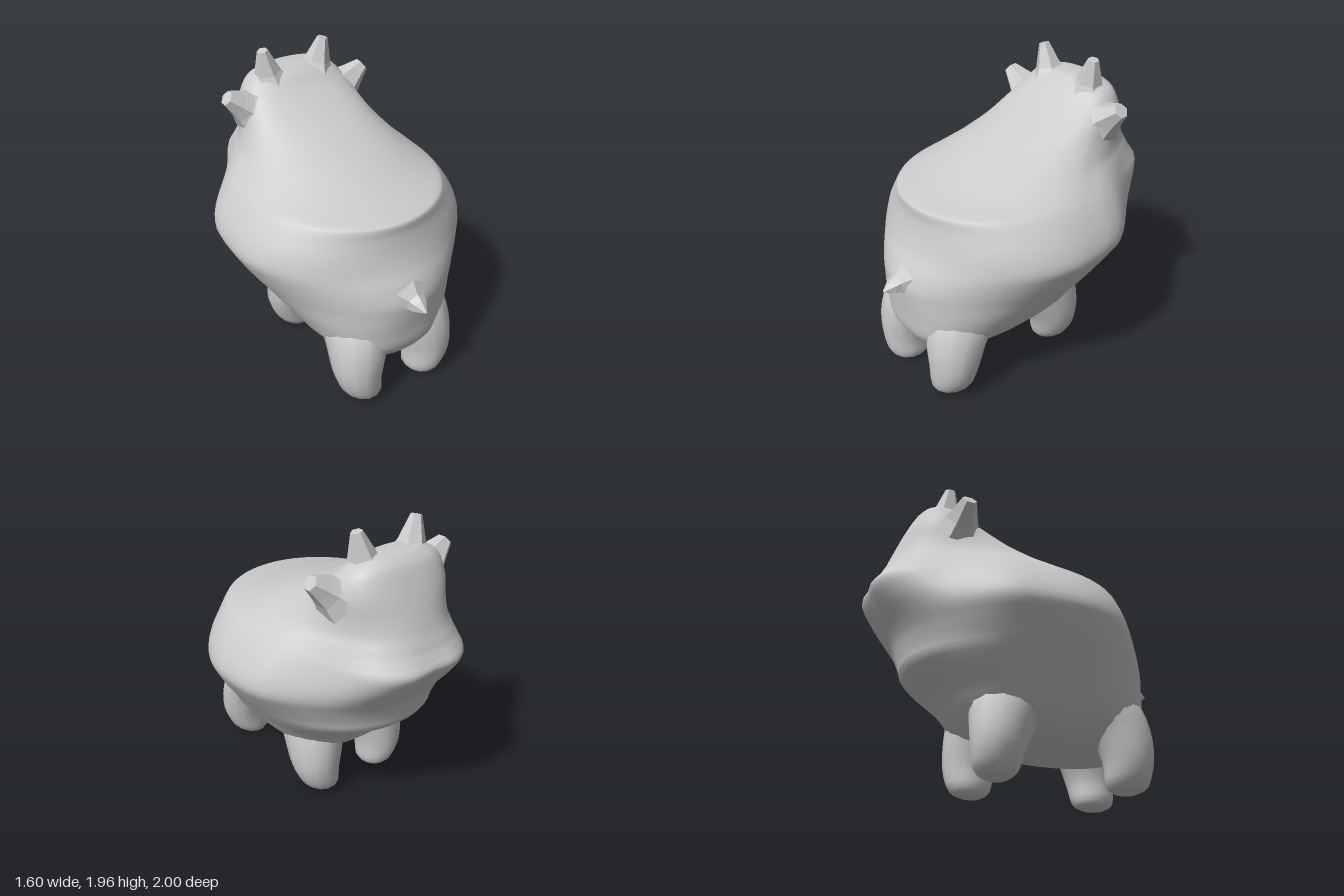
import * as THREE from 'three';

const smooth = new THREE.MeshStandardMaterial({ color: 0xcccccc });
const faceted = new THREE.MeshStandardMaterial({ color: 0xcccccc, flatShading: true });

// Catmull-Rom refinement of a few cross-sections
function refine(rows, steps) {
  const out = [];
  const at = i => rows[Math.min(Math.max(i, 0), rows.length - 1)];
  for (let i = 0; i < rows.length - 1; i++) {
    for (let s = 0; s < steps; s++) {
      const t = s / steps;
      out.push(rows[i].map((b, k) => {
        const a = at(i - 1)[k], c = at(i + 1)[k], d = at(i + 2)[k];
        return 0.5 * (2 * b + (c - a) * t + (2 * a - 5 * b + 4 * c - d) * t * t
          + (3 * b - a - 3 * c + d) * t * t * t);
      }));
    }
  }
  out.push(rows[rows.length - 1]);
  return out;
}

// Closed skin over horizontal sections; point(row, angle) gives [x, y, z]
function skin(rows, seg, point) {
  const pos = [], idx = [];
  for (const r of rows)
    for (let j = 0; j < seg; j++) pos.push(...point(r, (j / seg) * Math.PI * 2));
  const top = (rows.length - 1) * seg;
  const cap = start => {
    const c = [0, 0, 0];
    for (let j = 0; j < seg; j++)
      for (let k = 0; k < 3; k++) c[k] += pos[(start + j) * 3 + k] / seg;
    pos.push(...c);
    return pos.length / 3 - 1;
  };
  const c0 = cap(0), c1 = cap(top);
  for (let j = 0; j < seg; j++) {
    const n = (j + 1) % seg;
    for (let a = 0; a < top; a += seg)
      idx.push(a + j, a + seg + j, a + n, a + n, a + seg + j, a + seg + n);
    idx.push(c0, j, n, c1, top + n, top + j);
  }
  const g = new THREE.BufferGeometry();
  g.setAttribute('position', new THREE.Float32BufferAttribute(pos, 3));
  g.setIndex(idx);
  g.computeVertexNormals();
  return g;
}

// Low-poly spike with a flared foot, running between two points
function spike(name, from, to, foot, middle, tip) {
  const a = new THREE.Vector3(...from), b = new THREE.Vector3(...to);
  const dir = b.clone().sub(a), h = dir.length();
  const profile = [[foot, 0], [middle * 1.3, h * 0.35], [middle, h * 0.6], [tip, h], [0, h]]
    .map(p => new THREE.Vector2(...p));
  const m = new THREE.Mesh(new THREE.LatheGeometry(profile, 6), faceted);
  m.position.copy(a);
  m.quaternion.setFromUnitVectors(new THREE.Vector3(0, 1, 0), dir.normalize());
  m.name = name;
  return m;
}

const bump = (v, centre, width) => Math.exp(-(((v - centre) / width) ** 2));
const power = (v, n) => Math.sign(v) * Math.pow(Math.abs(v), 2 / n);

// Body section: superellipse, squarer and narrower towards the muzzle at snout height
function bodyPoint([y, hw, zc, zf, zb, n], a) {
  const s = Math.sin(a), snout = bump(y, 1.15, 0.3);
  const e = s > 0 ? n : n + 0.1 + 0.6 * snout;
  const depth = s > 0 ? zf - zc : zc - zb;
  const z = zc + power(s, e) * depth;
  const x = hw * power(Math.cos(a), e) * (1 - 0.25 * snout * THREE.MathUtils.smoothstep(-z, 0.2, 0.7));
  // shallow dip in the middle of the muzzle
  const dip = s < -0.5 ? 0.02 * bump(x, 0, 0.09) * bump(y, 1.18, 0.12) : 0;
  return [x, y, z + dip];
}

export function createModel() {
  const group = new THREE.Group();
  group.name = 'cow';

  // Body and head: y, half width, z of widest point, rump z, muzzle z, roundness
  const body = [
    [0.225, 0.10, 0.28, 0.55, 0.04, 2],
    [0.28, 0.27, 0.26, 0.74, -0.14, 2.2],
    [0.40, 0.43, 0.24, 0.84, -0.37, 2.6],
    [0.54, 0.53, 0.18, 0.86, -0.49, 2.4],
    [0.69, 0.635, 0.12, 0.88, -0.71, 2],
    [0.78, 0.70, 0.1, 0.885, -0.75, 1.85],
    [0.88, 0.76, 0.08, 0.85, -0.785, 1.85],
    [0.97, 0.80, 0.06, 0.80, -0.84, 1.9],
    [1.08, 0.77, 0.04, 0.76, -0.93, 2],
    [1.19, 0.705, 0.02, 0.738, -1.005, 2],
    [1.25, 0.66, -0.01, 0.738, -0.975, 2],
    [1.272, 0.64, -0.03, 0.715, -0.96, 2],
    [1.30, 0.612, -0.07, 0.585, -0.94, 2],
    [1.34, 0.57, -0.12, 0.45, -0.92, 2],
    [1.40, 0.51, -0.2, 0.30, -0.89, 2],
    [1.50, 0.445, -0.36, 0.05, -0.85, 2.1],
    [1.60, 0.405, -0.47, -0.18, -0.81, 2.3],
    [1.70, 0.355, -0.54, -0.36, -0.765, 2.4],
    [1.77, 0.29, -0.58, -0.44, -0.725, 2.4],
    [1.815, 0.18, -0.59, -0.51, -0.67, 2.2]
  ];
  const bodyMesh = new THREE.Mesh(skin(refine(body, 3), 56, bodyPoint), smooth);
  bodyMesh.name = 'bodyAndHead';
  group.add(bodyMesh);

  // Legs, merging into the body at the top: y, centre x, centre z, radius x, radius z
  const legs = {
    hindLeg: [
      [0, 0.225, 0.67, 0.05, 0.07], [0.05, 0.24, 0.68, 0.125, 0.14], [0.2, 0.27, 0.68, 0.16, 0.165],
      [0.4, 0.25, 0.63, 0.195, 0.21], [0.58, 0.22, 0.5, 0.21, 0.28], [0.75, 0.18, 0.35, 0.2, 0.25]
    ],
    foreLeg: [
      [0, 0.225, -0.19, 0.05, 0.06], [0.05, 0.24, -0.195, 0.12, 0.135], [0.2, 0.27, -0.19, 0.158, 0.172],
      [0.4, 0.25, -0.14, 0.19, 0.225], [0.58, 0.22, -0.06, 0.2, 0.28], [0.75, 0.18, 0, 0.2, 0.25]
    ]
  };
  for (const side of [1, -1]) {
    const label = side > 0 ? 'Left' : 'Right';
    for (const [name, rows] of Object.entries(legs)) {
      const leg = new THREE.Mesh(skin(refine(rows, 3), 14, ([y, cx, cz, rx, rz], a) =>
        [side * cx + rx * Math.cos(a), y, cz + rz * Math.sin(a)]), smooth);
      leg.name = name + label;
      group.add(leg);
    }
    // Horns and ears
    group.add(spike('horn' + label, [side * 0.17, 1.72, -0.545], [side * 0.225, 1.955, -0.53], 0.14, 0.068, 0.036));
    group.add(spike('ear' + label, [side * 0.33, 1.575, -0.5], [side * 0.515, 1.71, -0.49], 0.165, 0.085, 0.05));
  }

  // Tail
  group.add(spike('tail', [0, 0.79, 0.84], [0, 0.77, 1], 0.13, 0.05, 0.004));
  return group;
}
